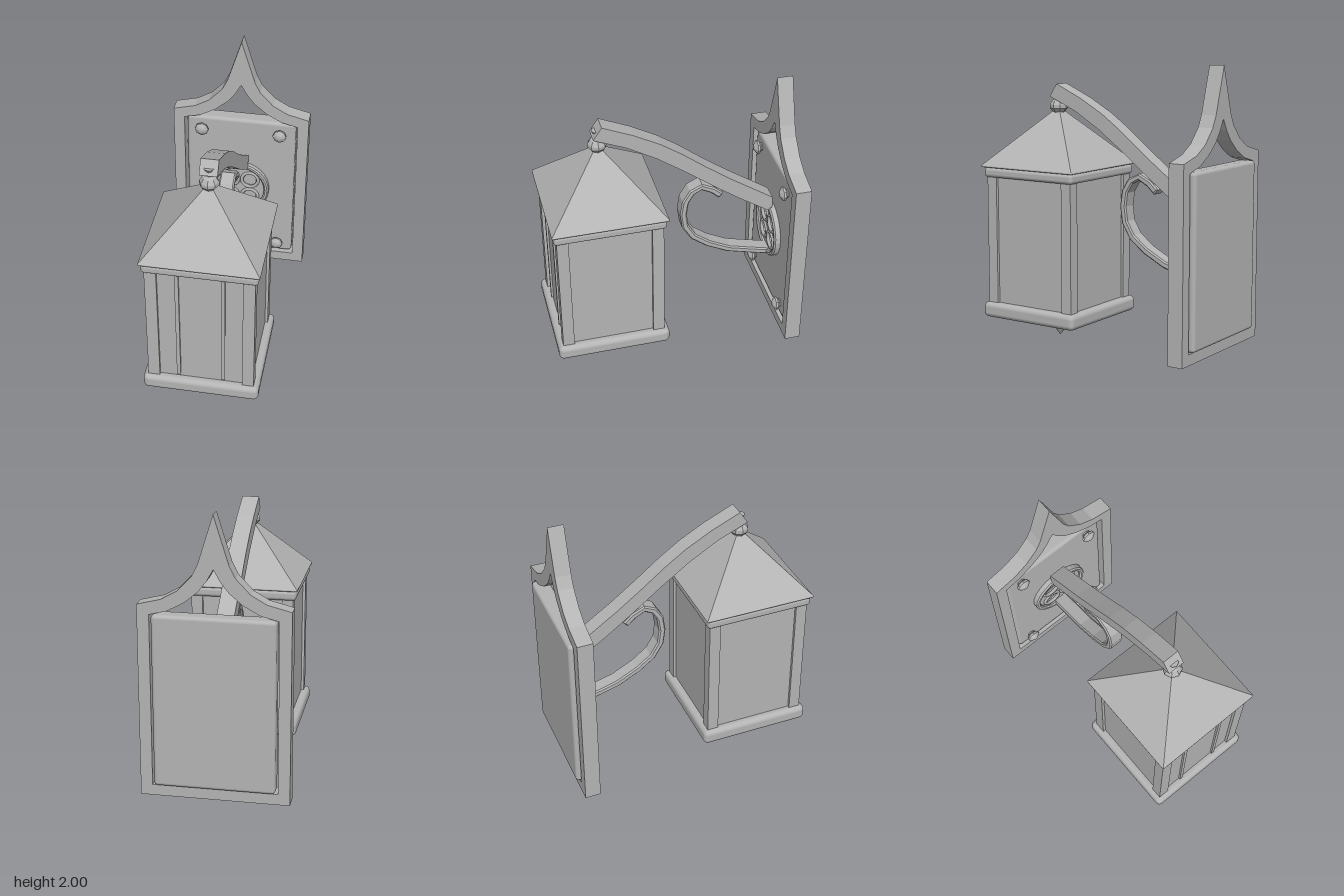
import * as THREE from 'three';
import { RoundedBoxGeometry } from 'three/addons/geometries/RoundedBoxGeometry.js';

export function createModel() {
  const root = new THREE.Group();
  root.name = 'wallLantern';
  const metal = new THREE.MeshStandardMaterial({ color: 0xb4b4b4 });
  metal.name = 'grey metal';

  const add = (parent, name, geo, x = 0, y = 0, z = 0) => {
    const m = new THREE.Mesh(geo, metal);
    m.name = name;
    m.position.set(x, y, z);
    parent.add(m);
    return m;
  };
  const group = (name, z = 0) => {
    const g = new THREE.Group();
    g.name = name;
    g.position.z = z;
    root.add(g);
    return g;
  };
  const v2 = (pts) => pts.map(([a, b]) => new THREE.Vector2(a, b));
  const lathe = (pts, seg) => new THREE.LatheGeometry(v2(pts), seg);
  const flat = (geo) => {
    const g = geo.index ? geo.toNonIndexed() : geo;
    g.computeVertexNormals();
    return g;
  };
  // mirror the right half of an outline about x = 0 (last point is the apex)
  const mirrored = (half) => [...half, ...half.slice(0, -1).reverse().map(([x, y]) => [-x, y])];
  // profile given as (z, y), extruded across x
  const sideExtrude = (pts, width, bevel = 0) => {
    const g = new THREE.ExtrudeGeometry(new THREE.Shape(v2(pts)), {
      depth: width - 2 * bevel, bevelEnabled: bevel > 0, bevelSize: bevel,
      bevelThickness: bevel, bevelOffset: -bevel, bevelSegments: 1,
    });
    g.translate(0, 0, -(width - 2 * bevel) / 2);
    return g.rotateY(-Math.PI / 2);
  };

  // ---- Wall mount ----
  const mount = group('wallMount');
  const frame = new THREE.Shape(v2(mirrored([
    [0.5, 0.08], [0.5, 1.4], [0.34, 1.44], [0.235, 1.5], [0.14, 1.6], [0.1, 1.68], [0.05, 1.84], [0, 2]])));
  frame.holes.push(new THREE.Path(v2(mirrored([
    [0.42, 0.155], [0.42, 1.335], [0.3, 1.365], [0.19, 1.425], [0.1, 1.5], [0.045, 1.57], [0, 1.65]]))));
  add(mount, 'pointedFrame', new THREE.ExtrudeGeometry(frame, { depth: 0.11, bevelEnabled: false }), 0, 0, -0.86);
  add(mount, 'backPlate', new RoundedBoxGeometry(0.81, 1.18, 0.12, 3, 0.025), 0, 0.75, -0.83);

  // bolts near the plate corners
  const bolt = flat(lathe([[0.03, -0.02], [0.03, 0.015], [0.05, 0.03], [0.05, 0.045], [0.02, 0.065], [0, 0.067]], 8));
  bolt.rotateX(Math.PI / 2);
  for (const x of [-0.29, 0.29]) for (const y of [0.25, 1.25]) add(mount, 'bolt', bolt, x, y, -0.777);

  // round tracery plate with four openings
  const disc = new THREE.Shape().absarc(0, 0, 0.21, 0, Math.PI * 2);
  const lobes = [0, 1, 2, 3].map((i) => {
    const a = Math.PI / 4 + i * Math.PI / 2;
    return [0.105 * Math.cos(a), 0.105 * Math.sin(a)];
  });
  for (const [x, y] of lobes) disc.holes.push(new THREE.Path().absarc(x, y, 0.058, 0, Math.PI * 2, true));
  add(mount, 'rosette', new THREE.ExtrudeGeometry(disc, { depth: 0.035, bevelEnabled: false, curveSegments: 16 }), 0, 0.75, -0.785);
  add(mount, 'rosetteRim', flat(new THREE.LatheGeometry(v2([
    [0.185, 0], [0.22, 0], [0.22, 0.045], [0.21, 0.055], [0.195, 0.055], [0.185, 0.045], [0.185, 0]]), 32)).rotateX(Math.PI / 2), 0, 0.75, -0.78);
  for (const [x, y] of lobes) add(mount, 'rosetteLobe', new THREE.TorusGeometry(0.062, 0.013, 6, 20), x, 0.75 + y, -0.748);

  // ---- Arm and scroll ----
  const arm = group('bracket');
  add(arm, 'arm', sideExtrude([
    [0.46, 1.84], [0.25, 1.745], [0.07, 1.645], [-0.08, 1.54], [-0.25, 1.405], [-0.43, 1.27], [-0.75, 1.05],
    [-0.75, 0.92], [-0.5, 1.09], [-0.33, 1.215], [-0.11, 1.385], [0.09, 1.53], [0.3, 1.655], [0.52, 1.75]], 0.12));
  // scroll strip: offset a centre line to both sides
  const line = v2([[-0.37, 1.13], [-0.31, 1.185], [-0.23, 1.225], [-0.16, 1.19], [-0.115, 1.115], [-0.1, 1.01],
    [-0.115, 0.9], [-0.175, 0.8], [-0.285, 0.715], [-0.44, 0.635], [-0.6, 0.59], [-0.75, 0.55]]);
  const offset = (d) => line.map((p, i) => {
    const t = line[Math.min(i + 1, line.length - 1)].clone().sub(line[Math.max(i - 1, 0)]).normalize();
    return [p.x - t.y * d, p.y + t.x * d];
  });
  add(arm, 'scroll', sideExtrude([...offset(0.024), ...offset(-0.024).reverse()], 0.11, 0.01));

  // ---- Lantern ----
  const lantern = group('lantern', 0.485);
  add(lantern, 'base', new RoundedBoxGeometry(0.8, 0.11, 0.8, 4, 0.035), 0, 0.215, 0);
  add(lantern, 'glassBox', new THREE.BoxGeometry(0.69, 0.95, 0.69), 0, 0.725, 0);
  for (const x of [-1, 1]) for (const z of [-1, 1])
    add(lantern, 'cornerPost', new THREE.BoxGeometry(0.08, 0.94, 0.08), x * 0.325, 0.73, z * 0.325);
  for (const x of [-0.153, 0.153]) add(lantern, 'glazingBar', new THREE.BoxGeometry(0.026, 0.9, 0.03), x, 0.74, 0.345);
  add(lantern, 'topRail', new RoundedBoxGeometry(0.77, 0.07, 0.77, 3, 0.025), 0, 1.215, 0);

  // hipped roof with a thin edge
  const square = (top, bottom, h) => flat(new THREE.CylinderGeometry(top * Math.SQRT2, bottom * Math.SQRT2, h, 4).rotateY(Math.PI / 4));
  add(lantern, 'roof', square(0.02, 0.395, 0.39), 0, 1.46, 0);
  add(lantern, 'roofEdge', new RoundedBoxGeometry(0.794, 0.016, 0.794, 2, 0.007), 0, 1.259, 0);

  // top knob and hook, bottom drop
  add(lantern, 'topKnob', flat(lathe([[0.03, 1.6], [0.04, 1.635], [0.065, 1.665], [0.065, 1.69], [0.045, 1.72],
    [0.022, 1.735], [0.022, 1.765], [0.036, 1.79], [0, 1.79]], 8)));
  add(lantern, 'bottomDrop', lathe([[0, 0], [0.018, 0.02], [0.045, 0.065], [0.07, 0.115], [0.08, 0.165]], 20));
  return root;
}
